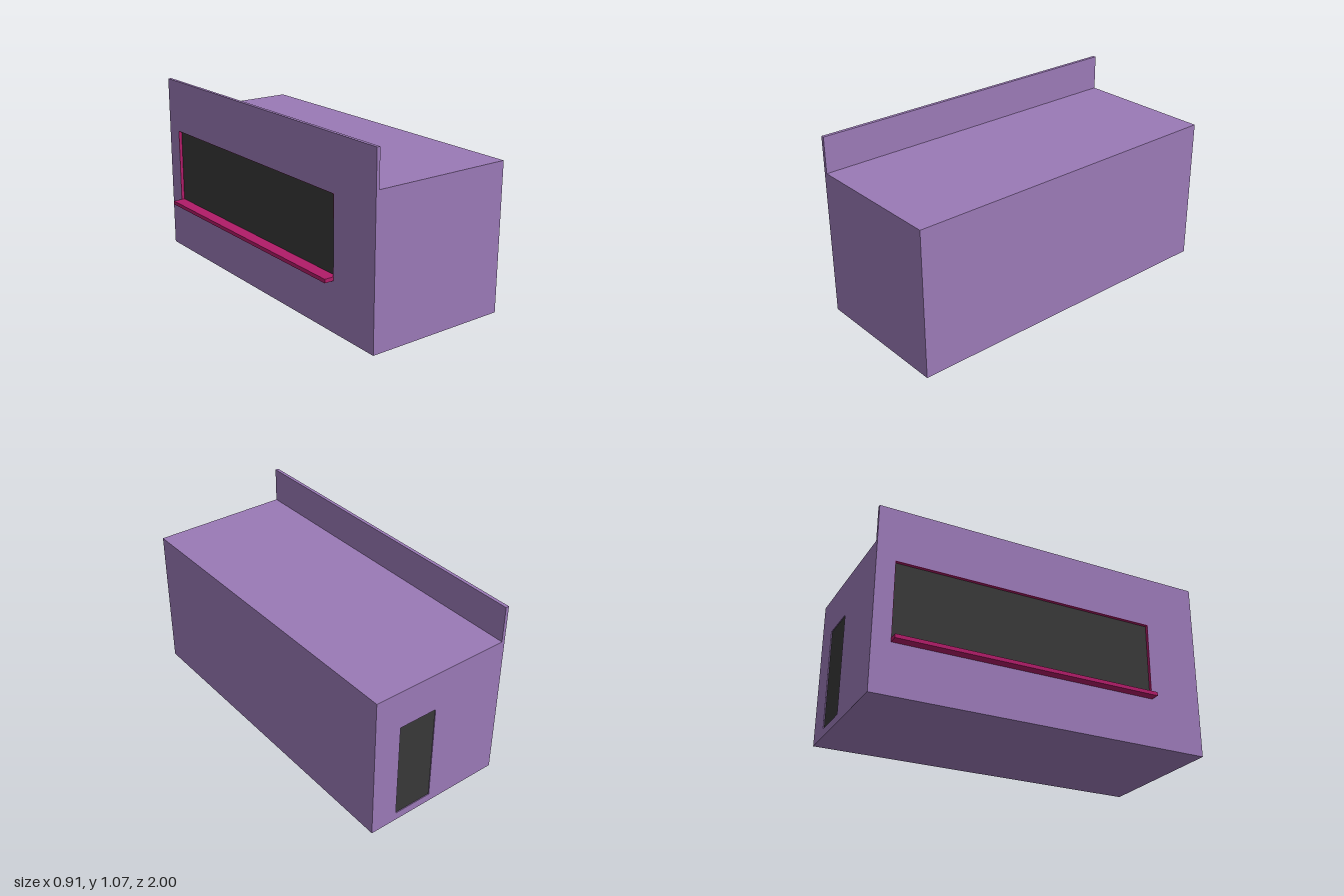
import * as THREE from 'three';

const wallMat = new THREE.MeshStandardMaterial({ color: 0x9a79b6 });
const trimMat = new THREE.MeshStandardMaterial({ color: 0xb01c68 });
const darkMat = new THREE.MeshStandardMaterial({ color: 0x383838 });

// Extents of the building and its openings: [min, max]
const X = [-0.4, 0.455], Z = [-1, 1];
const ROOF = 0.857, PARAPET = 1.067, WALL = 0.02, DOOR_RECESS = 0.006;
const inner = X[0] + WALL;
const win = { z: [-0.895, 0.675], y: [0.31, 0.757] };
const door = { x: [0.06, 0.294], y: [0.047, 0.63] };

function box(name, mat, [x0, x1], [y0, y1], [z0, z1]) {
  const geo = new THREE.BoxGeometry(x1 - x0, y1 - y0, z1 - z0);
  geo.translate((x0 + x1) / 2, (y0 + y1) / 2, (z0 + z1) / 2);
  const mesh = new THREE.Mesh(geo, mat);
  mesh.name = name;
  return mesh;
}

function rect(Type, [u0, u1], [v0, v1]) {
  return new Type([[u0, v0], [u1, v0], [u1, v1], [u0, v1]].map(p => new THREE.Vector2(...p)));
}

// Flat wall with one rectangular opening
function wallGeometry(u, v, holeU, holeV, depth) {
  const shape = rect(THREE.Shape, u, v);
  shape.holes.push(rect(THREE.Path, holeU, holeV));
  return new THREE.ExtrudeGeometry(shape, { depth, bevelEnabled: false });
}

export function createModel() {
  const model = new THREE.Group();
  model.name = 'shopBuilding';

  // Main block
  model.add(box('body', wallMat, [inner, X[1]], [0, ROOF], [Z[0] + DOOR_RECESS, Z[1]]));

  // Shop wall, rising above the roof as a parapet
  const shopWall = new THREE.Mesh(
    wallGeometry(Z, [0, PARAPET], win.z, win.y, WALL).rotateY(-Math.PI / 2).translate(inner, 0, 0), wallMat);
  shopWall.name = 'shopWall';
  model.add(shopWall);

  // Back wall with the door opening
  const backWall = new THREE.Mesh(
    wallGeometry([inner, X[1]], [0, ROOF], door.x, door.y, DOOR_RECESS).translate(0, 0, Z[0]), wallMat);
  backWall.name = 'backWall';
  model.add(backWall);

  // Dark panels set back in the openings
  model.add(box('windowPanel', darkMat, [inner - 0.001, inner + 0.004], win.y, win.z));
  model.add(box('door', darkMat, door.x, door.y, [Z[0] + DOOR_RECESS - 0.001, Z[0] + DOOR_RECESS + 0.004]));

  // Coloured lining of the window opening
  const t = 0.002, depth = [X[0], inner];
  model.add(box('windowLiningTop', trimMat, depth, [win.y[1] - t, win.y[1]], win.z));
  model.add(box('windowLiningBack', trimMat, depth, win.y, [win.z[0], win.z[0] + t]));
  model.add(box('windowLiningFront', trimMat, depth, win.y, [win.z[1] - t, win.z[1]]));
  model.add(box('windowLiningBottom', trimMat, depth, [win.y[0], win.y[0] + t], win.z));

  // Counter shelf below the window
  model.add(box('counterShelf', trimMat, [-0.455, X[0]], [0.29, win.y[0] + t], win.z));

  return model;
}
